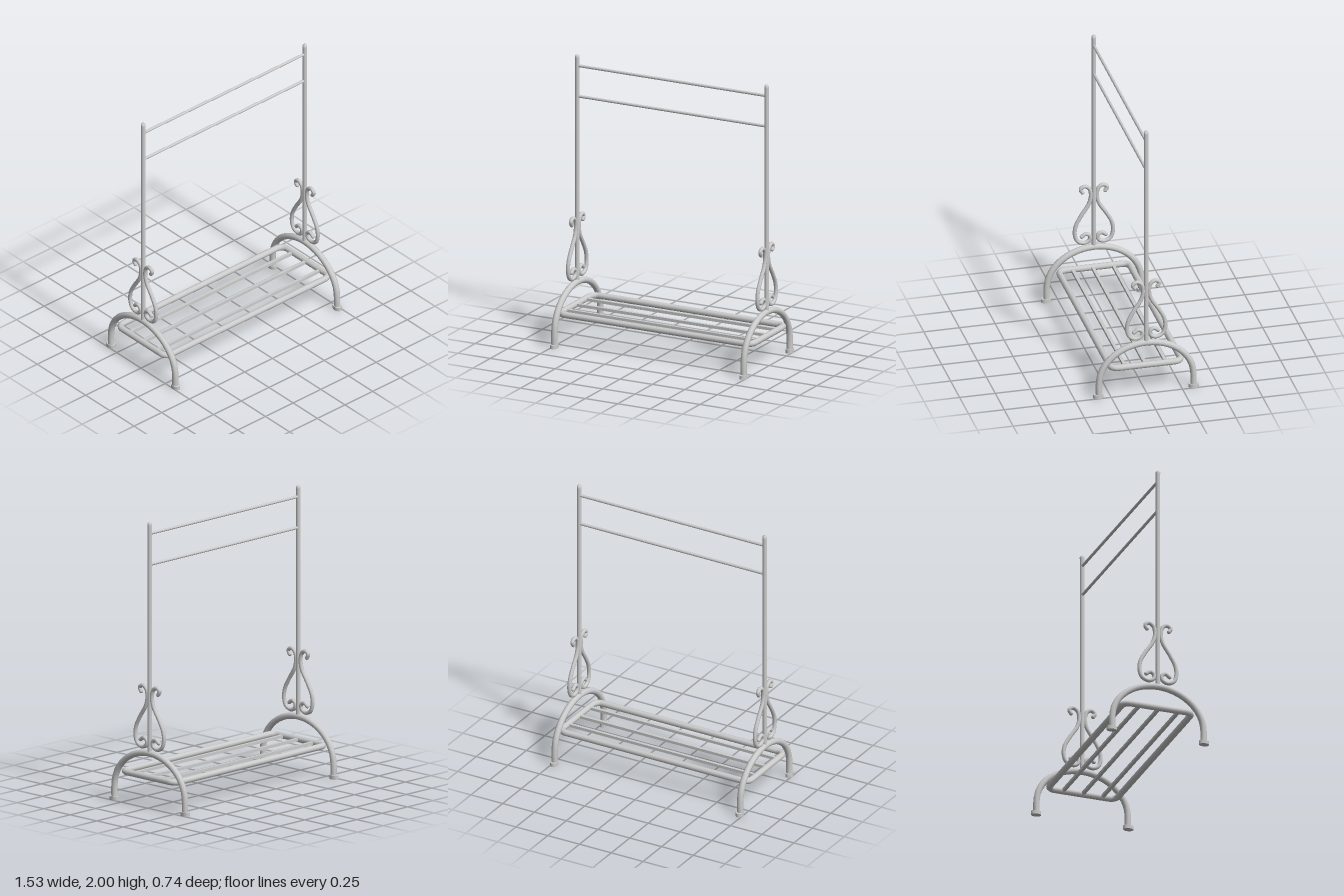
import * as THREE from 'three';

const material = new THREE.MeshStandardMaterial({ color: 0xcccccc });
const POST_X = 0.73;
const SHELF_Y = 0.217;

function add(parent, geometry, name, x = 0, y = 0, z = 0) {
  const mesh = new THREE.Mesh(geometry, material);
  mesh.name = name;
  mesh.position.set(x, y, z);
  parent.add(mesh);
  return mesh;
}

// Horizontal bar running along x
function bar(parent, name, length, radius, y, z) {
  const geometry = new THREE.CylinderGeometry(radius, radius, length, 12).rotateZ(Math.PI / 2);
  return add(parent, geometry, name, 0, y, z);
}

// Arched legs: straight feet ends joined by a half ellipse
function archGeometry() {
  const path = new THREE.CurvePath();
  const points = [new THREE.Vector3(0, 0.01, 0.332)];
  const steps = 12;
  for (let i = 0; i <= steps; i++) {
    const a = (i / steps) * Math.PI;
    points.push(new THREE.Vector3(0, 0.1 + 0.28 * Math.sin(a), 0.332 * Math.cos(a)));
  }
  points.push(new THREE.Vector3(0, 0.01, -0.332));
  const curve = new THREE.CatmullRomCurve3(points, false, 'centripetal');
  return new THREE.TubeGeometry(curve, 28, 0.022, 12);
}

// Lyre-shaped scroll, given as [z, y] from the top curl to the bottom curl
const scrollPoints = [
  [0.08, 0.803], [0.094, 0.828], [0.066, 0.848], [0.034, 0.83], [0.021, 0.78],
  [0.034, 0.715], [0.09, 0.625], [0.126, 0.555], [0.134, 0.49], [0.115, 0.436],
  [0.07, 0.417], [0.032, 0.434], [0.028, 0.466], [0.055, 0.484], [0.085, 0.465],
];

function scroll(parent, side) {
  const points = scrollPoints.map(([z, y]) => new THREE.Vector3(0, y, z * side));
  const curve = new THREE.CatmullRomCurve3(points, false, 'centripetal');
  add(parent, new THREE.TubeGeometry(curve, 64, 0.014, 10), 'scroll');
  // Rounded ends of the curls
  for (const p of [points[0], points[points.length - 1]]) {
    add(parent, new THREE.SphereGeometry(0.014, 10, 8), 'scrollTip', p.x, p.y, p.z);
  }
}

function endFrame(x) {
  const frame = new THREE.Group();
  frame.name = x > 0 ? 'leftEndFrame' : 'rightEndFrame';
  frame.position.x = x;

  // Upright post with a domed top
  const profile = [[0.016, 0.385], [0.016, 1.975], [0.0165, 1.985], [0.012, 1.996], [0, 2]]
    .map(([r, y]) => new THREE.Vector2(r, y));
  add(frame, new THREE.LatheGeometry(profile, 16), 'post');
  add(frame, archGeometry(), 'archedLegs');

  for (const side of [-1, 1]) {
    scroll(frame, side);
    // Oval foot cap
    const foot = new THREE.CylinderGeometry(0.026, 0.026, 0.026, 16).scale(1, 1, 1.4);
    add(frame, foot, 'foot', 0, 0.013, side * 0.335);
  }
  return frame;
}

// Closed tube around the shelf with rounded corners
function shelfFrameGeometry() {
  const hx = 0.743, hz = 0.248, r = 0.05, steps = 6;
  const path = new THREE.CurvePath();
  const corners = [[1, 1, 0], [-1, 1, 1], [-1, -1, 2], [1, -1, 3]];
  const points = [];
  for (const [sx, sz, quarter] of corners) {
    for (let i = 0; i <= steps; i++) {
      const a = (quarter + i / steps) * Math.PI / 2;
      points.push(new THREE.Vector3(
        sx * (hx - r) + r * Math.cos(a), 0, sz * (hz - r) + r * Math.sin(a)));
    }
  }
  points.forEach((p, i) => path.add(new THREE.LineCurve3(p, points[(i + 1) % points.length])));
  return new THREE.TubeGeometry(path, 320, 0.022, 12, true);
}

export function createModel() {
  const model = new THREE.Group();
  model.name = 'clothesRack';

  model.add(endFrame(POST_X), endFrame(-POST_X));

  // Hanging rails between the posts
  bar(model, 'topRail', POST_X * 2, 0.01, 1.92, 0);
  bar(model, 'lowerRail', POST_X * 2, 0.01, 1.703, 0);

  // Shoe shelf
  const shelf = new THREE.Group();
  shelf.name = 'shelf';
  add(shelf, shelfFrameGeometry(), 'shelfFrame', 0, SHELF_Y, 0);
  for (const z of [-0.135, 0.007, 0.149]) {
    add(shelf, new THREE.BoxGeometry(1.48, 0.02, 0.022), 'shelfSlat', 0, SHELF_Y, z);
  }
  model.add(shelf);

  return model;
}
